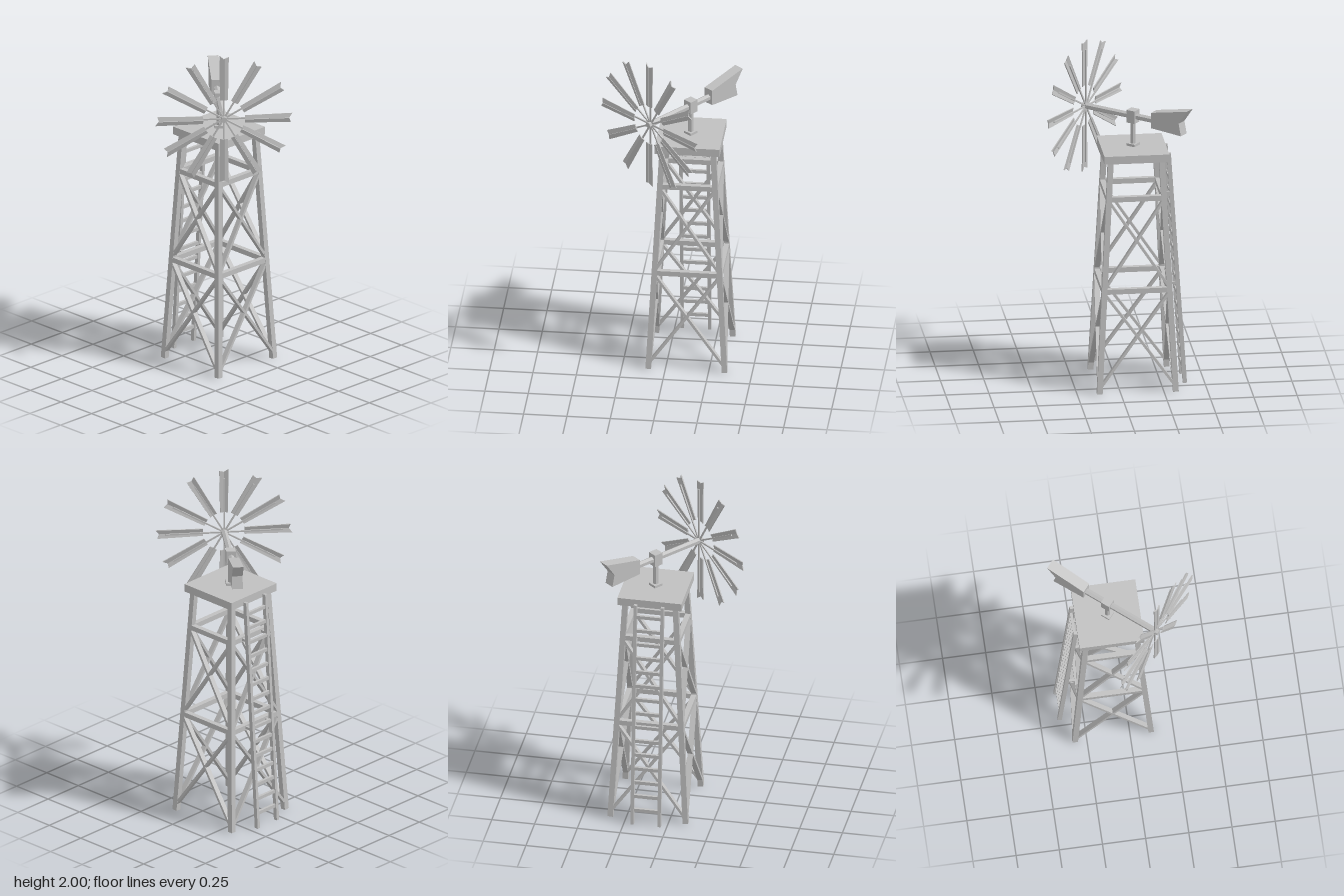
import * as THREE from 'three';

const steel = new THREE.MeshStandardMaterial({ color: 0xc0c0c0, flatShading: true });
steel.name = 'grey steel';

const V = (x, y, z) => new THREE.Vector3(x, y, z);

function add(parent, name, geometry, x = 0, y = 0, z = 0) {
  const mesh = new THREE.Mesh(geometry, steel);
  mesh.name = name;
  mesh.position.set(x, y, z);
  parent.add(mesh);
  return mesh;
}

// Rectangular bar from a to b; depth is measured along the given direction
function bar(parent, name, a, b, width, depth, depthDir) {
  const dir = b.clone().sub(a);
  const mesh = add(parent, name, new THREE.BoxGeometry(width, dir.length(), depth));
  dir.normalize();
  const side = dir.clone().cross(depthDir).normalize();
  const out = side.clone().cross(dir);
  mesh.quaternion.setFromRotationMatrix(new THREE.Matrix4().makeBasis(side, dir, out));
  mesh.position.copy(a).add(b).multiplyScalar(0.5);
}

// Distance of the leg centre from the tower axis at height y
const half = (y) => 0.22 - 0.073 * (y / 1.39);

function buildTower() {
  const tower = new THREE.Group();
  tower.name = 'tower';
  for (let i = 0; i < 4; i++) {
    const side = new THREE.Group();
    side.name = 'towerSide';
    side.rotation.y = (i * Math.PI) / 2;
    const at = (s, y) => V(s * half(y), y, half(y));
    const out = V(0, 0, 1);
    bar(side, 'leg', at(1, 0.002), at(1, 1.39), 0.032, 0.032, out);
    for (const y of [0.611, 1.16]) bar(side, 'crossBeam', at(-1, y), at(1, y), 0.03, 0.03, out);
    for (const [y0, y1] of [[0.035, 0.6], [0.625, 1.15]]) {
      for (const s of [-1, 1]) bar(side, 'diagonalBrace', at(-s, y0), at(s, y1), 0.015, 0.03, out);
    }
    tower.add(side);
  }
  add(tower, 'platform', new THREE.BoxGeometry(0.374, 0.047, 0.374), 0, 1.405, 0);
  return tower;
}

function buildLadder() {
  const ladder = new THREE.Group();
  ladder.name = 'ladder';
  const railZ = (y) => -0.289 + 0.093 * (y / 1.4);
  const out = V(0, 0, 1);
  for (const s of [-1, 1]) {
    const x = s * 0.079;
    bar(ladder, 'ladderRail', V(x, 0.002, railZ(0)), V(x, 1.4, railZ(1.4)), 0.019, 0.024, out);
    for (const y of [0.611, 1.16]) {
      bar(ladder, 'ladderBracket', V(x, y, -half(y)), V(x, y, railZ(y)), 0.015, 0.015, V(0, 1, 0));
    }
  }
  for (let i = 0; i < 15; i++) {
    const y = 0.093 + i * 0.088;
    add(ladder, 'rung', new THREE.BoxGeometry(0.15, 0.02, 0.016), 0, y, railZ(y));
  }
  return ladder;
}

// Rotor disc faces +z of its own group
function buildRotor() {
  const rotor = new THREE.Group();
  rotor.name = 'rotor';
  add(rotor, 'hub', new THREE.CylinderGeometry(0.018, 0.018, 0.03, 8).rotateX(Math.PI / 2), 0, 0, -0.004);
  for (let i = 0; i < 12; i++) {
    const arm = new THREE.Group();
    arm.name = 'rotorArm';
    arm.rotation.z = (i * Math.PI) / 6;
    add(arm, 'spoke', new THREE.BoxGeometry(0.34, 0.009, 0.007), 0.17, 0, -0.012);
    // Two halves folded along the centre line, with a notched tip
    for (const s of [-1, 1]) {
      const shape = new THREE.Shape([
        new THREE.Vector2(0.12, 0), new THREE.Vector2(0.12, s * 0.022),
        new THREE.Vector2(s > 0 ? 0.394 : 0.384, s * 0.027), new THREE.Vector2(0.375, 0),
      ]);
      const geo = new THREE.ExtrudeGeometry(shape, { depth: 0.006, bevelEnabled: false });
      add(arm, 'blade', geo.rotateX(-s * 0.25), 0, 0, 0.001);
    }
    rotor.add(arm);
  }
  return rotor;
}

// Head, shaft, rotor and tail, aligned with +z before turning
function buildHead() {
  const head = new THREE.Group();
  head.name = 'windHead';
  add(head, 'postFoot', new THREE.BoxGeometry(0.056, 0.016, 0.056), 0, 1.435, 0);
  add(head, 'post', new THREE.CylinderGeometry(0.017, 0.017, 0.16, 6), 0, 1.51, 0);
  add(head, 'headBlock', new THREE.BoxGeometry(0.055, 0.076, 0.055), 0, 1.607, 0);
  add(head, 'shaft', new THREE.CylinderGeometry(0.019, 0.019, 0.48, 6).rotateX(Math.PI / 2), 0, 1.607, 0.085);
  const rotor = buildRotor();
  rotor.position.set(0, 1.606, 0.332);
  head.add(rotor);
  // Thick tail vane with a notched rear edge
  const profile = [[0.142, 1.567], [0.345, 1.556], [0.33, 1.63], [0.387, 1.713], [0.142, 1.66]];
  const vane = new THREE.ExtrudeGeometry(
    new THREE.Shape(profile.map(([s, y]) => new THREE.Vector2(s, y))),
    { depth: 0.062, bevelEnabled: false });
  add(head, 'tailVane', vane.translate(0, 0, -0.031).rotateY(Math.PI / 2));
  head.rotation.y = Math.atan2(-0.637, 0.771);
  return head;
}

export function createModel() {
  const model = new THREE.Group();
  model.name = 'windPump';
  model.add(buildTower(), buildLadder(), buildHead());
  for (const part of model.children) {
    part.position.x = 0.122;
    part.position.z = -0.098;
  }
  return model;
}
